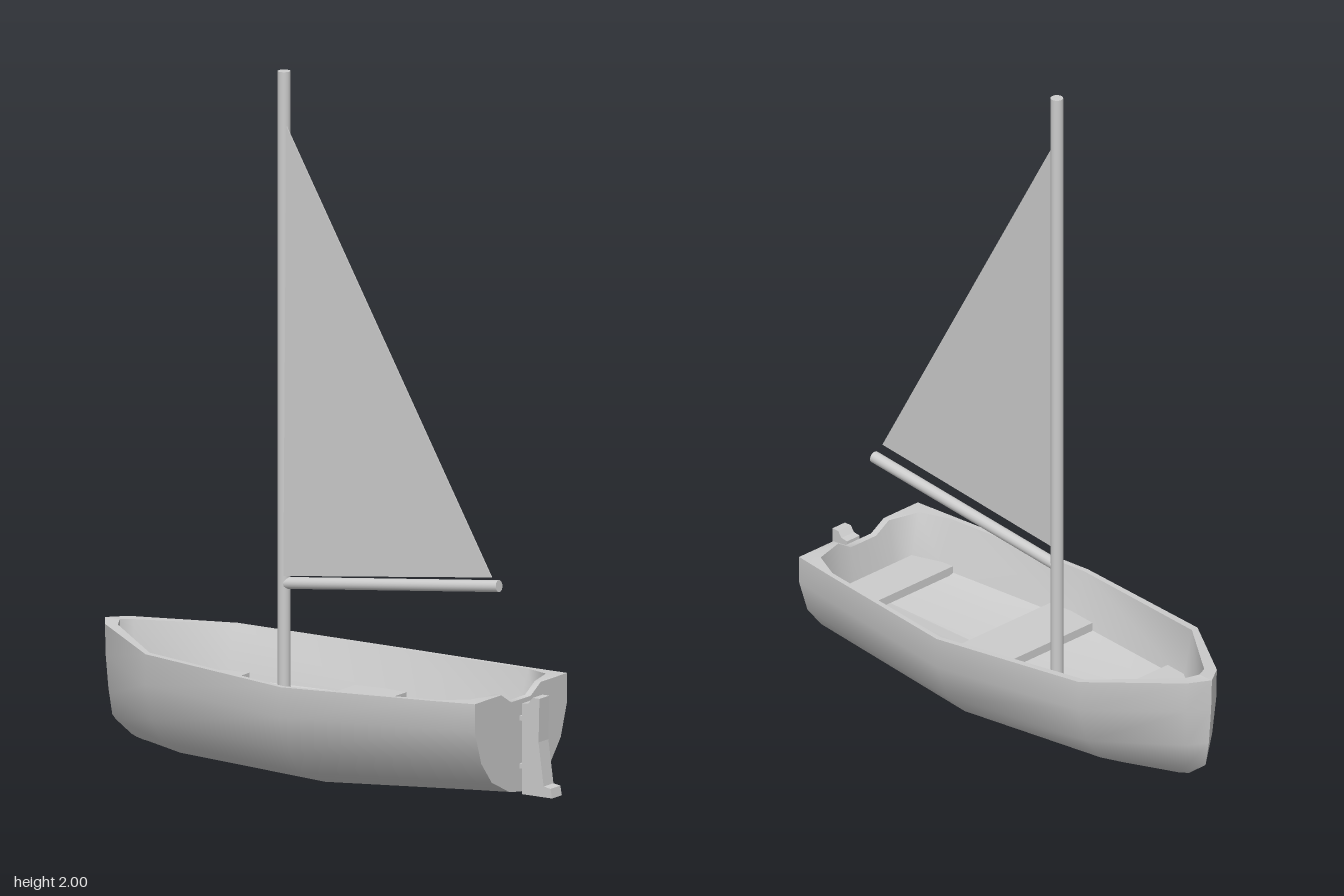
import * as THREE from 'three';

const grey = new THREE.MeshStandardMaterial({ color: 0xcccccc, side: THREE.DoubleSide });

// Smooth grid surface through rows of [x, y, z] points
function loft(rows) {
  const n = rows[0].length, index = [];
  for (let r = 0; r < rows.length - 1; r++) {
    for (let c = 0; c < n - 1; c++) {
      const a = r * n + c, b = a + 1, d = a + n, e = d + 1;
      index.push(a, b, d, b, e, d);
    }
  }
  const g = new THREE.BufferGeometry();
  g.setAttribute('position', new THREE.Float32BufferAttribute(rows.flat(2), 3));
  g.setIndex(index);
  g.computeVertexNormals();
  return g;
}

const mirror = (half) => [...half, ...half.slice(0, -1).reverse().map(([x, y, z]) => [x, y, -z])];
const polygon = (pts) => new THREE.Shape(pts.map(([x, y]) => new THREE.Vector2(x, y)));
const extrude = (pts, depth) => new THREE.ExtrudeGeometry(polygon(pts), { depth, bevelEnabled: false });

// Hull cross-section, sheer to keel: width and height fractions, stem set-back
const widthFrac = [1, 1, 0.86, 0.63, 0.25, 0];
const heightFrac = [1, 0.73, 0.4, 0.18, 0.035, 0];
const setBack = [0, 0.003, 0.012, 0.025, 0.09, 0.13];
// Stations: x, half width, sheer height, keel height, amount of stem set-back
const stations = [
  [-0.76, 0, 0.37, 0.035, 1],
  [-0.72, 0.06, 0.367, 0.033, 0.85],
  [-0.47, 0.235, 0.345, 0.018, 0],
  [0.025, 0.30, 0.325, 0, 0],
  [0.5, 0.25, 0.336, 0.036, 0],
  [0.63, 0.235, 0.34, 0.045, 0],
];
const section = ([x, w, top, keel, s]) => mirror(widthFrac.map((f, k) =>
  [x + s * setBack[k], keel + heightFrac[k] * (top - keel), w * f]));

// Half outlines, bow to stern, of the gunwale and the well inside it
const outerRim = [[-0.76, 0.37, 0], [-0.72, 0.367, 0.06], [-0.47, 0.345, 0.235], [0.025, 0.325, 0.30],
  [0.5, 0.336, 0.25], [0.63, 0.34, 0.235], [0.63, 0.34, 0.1], [0.63, 0.31, 0.05], [0.63, 0.31, 0]];
const innerRim = [[-0.71, 0.37, 0], [-0.69, 0.365, 0.04], [-0.47, 0.345, 0.213], [0.025, 0.325, 0.284],
  [0.5, 0.336, 0.234], [0.585, 0.34, 0.195], [0.61, 0.34, 0.1], [0.61, 0.31, 0.05], [0.61, 0.31, 0]];
const floorEdge = [[-0.705, 0.22, 0], [-0.685, 0.215, 0.035], [-0.47, 0.2, 0.18], [0.025, 0.195, 0.232],
  [0.49, 0.2, 0.19], [0.58, 0.2, 0.16], [0.59, 0.2, 0.1], [0.595, 0.2, 0.05], [0.595, 0.2, 0]];

function floorWidth(x) {
  const i = floorEdge.findIndex((p) => p[0] >= x);
  const [a, b] = [floorEdge[i - 1], floorEdge[i]];
  return THREE.MathUtils.mapLinear(x, a[0], b[0], a[2], b[2]);
}

export function createModel() {
  const boat = new THREE.Group();
  boat.name = 'sailingDinghy';
  const add = (name, geometry, x = 0, y = 0, z = 0) => {
    const mesh = new THREE.Mesh(geometry, grey);
    mesh.name = name;
    mesh.position.set(x, y, z);
    boat.add(mesh);
    return mesh;
  };

  // Hull shell and flat stern with its shallow notch
  add('hull', loft(stations.map(section)));
  const sternPts = section(stations.at(-1)).map(([, y, z]) => [z, y]);
  const notch = [[-0.1, 0.34], [-0.05, 0.31], [0.05, 0.31], [0.1, 0.34]];
  add('transom', new THREE.ShapeGeometry(polygon([...sternPts, ...notch])).rotateY(Math.PI / 2), 0.63);

  // Gunwale, inner walls and slightly dished floor
  const outer = mirror(outerRim), inner = mirror(innerRim), edge = mirror(floorEdge);
  add('gunwale', loft([outer, inner]));
  add('innerWall', loft([inner, edge]));
  const dish = (t, drop) => edge.map(([x, y, z]) => [x, y - drop * Math.min(1, Math.abs(z) / 0.15), z * t]);
  add('floor', loft([edge, dish(0.6, 0.03), dish(0, 0.045)]));

  // Three benches fitted to the width of the well
  for (const [name, x0, x1] of [['bowBench', -0.53, -0.4], ['middleBench', -0.07, 0.1], ['sternBench', 0.45, 0.58]]) {
    const xs = [x0, ...floorEdge.map((p) => p[0]).filter((x) => x > x0 && x < x1), x1];
    const side = xs.map((x) => [x, floorWidth(x)]);
    const pts = [...side, ...side.map(([x, z]) => [x, -z]).reverse()];
    add(name, extrude(pts, 0.025).rotateX(Math.PI / 2), 0, 0.22);
  }

  // Mast, boom and sail
  add('mast', new THREE.CylinderGeometry(0.018, 0.018, 1.86, 16), -0.183, 1.07, -0.033);
  const boom = add('boom', new THREE.CylinderGeometry(0.017, 0.017, 0.715, 16), 0.18, 0.575, -0.033);
  boom.rotation.z = Math.atan2(0.08, 0.71) - Math.PI / 2;
  add('sail', extrude([[-0.165, 0.562], [0.53, 0.645], [-0.155, 1.85]], 0.004), 0, 0, -0.006);

  // Rudder blade hung on two pins
  const blade = [[0.65, 0.045], [0.75, 0.045], [0.745, 0.072], [0.722, 0.076], [0.705, 0.2],
    [0.708, 0.325], [0.685, 0.325], [0.672, 0.308], [0.65, 0.305]];
  add('rudder', extrude(blade, 0.05), 0, 0, -0.025);
  for (const y of [0.257, 0.12]) add('rudderPin', new THREE.BoxGeometry(0.035, 0.014, 0.014), 0.643, y, 0);

  return boat;
}
